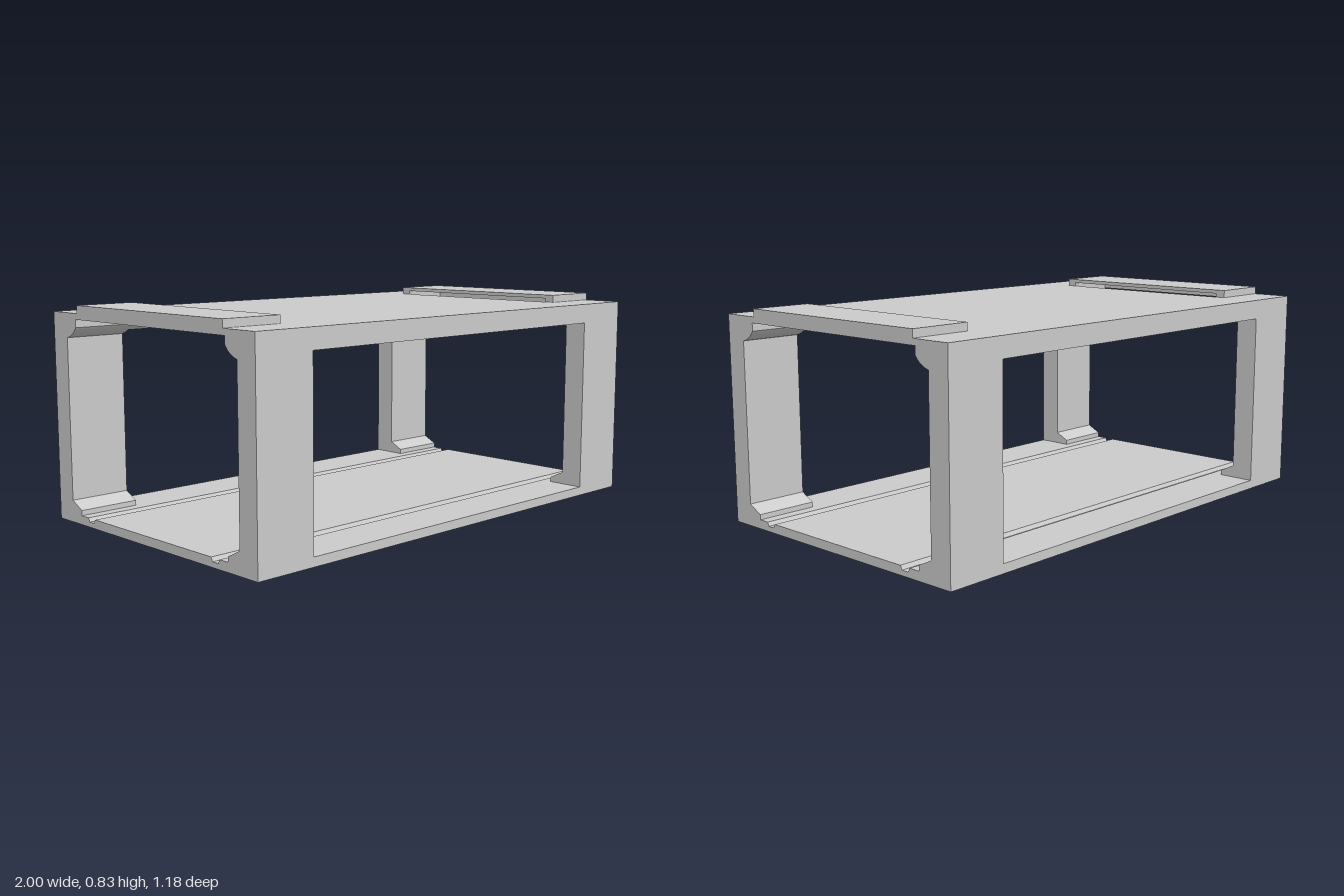
import * as THREE from 'three';
import { toCreasedNormals } from 'three/addons/utils/BufferGeometryUtils.js';

const mat = new THREE.MeshStandardMaterial({ color: 0xcccccc });
const W = 0.59, IN = 0.5, LIP = 0.44, FLOOR = 0.035, CEIL = 0.777, ROOF = 0.8;
const WIN = 0.757, WIN_TOP = 0.723;
const PAD_Z = 0.43, PAD_Y = 0.83, REC_Z = 0.39, REC_Y = 0.815, REC_X = 0.975;

// Mirrors a half profile (z >= 0) into a full list running from +z to -z.
const mirror = half => [...half, ...half.map(([z, y]) => [-z, y]).reverse()];

// Floor section with two lengthwise grooves, from the edge towards the middle.
const floorHalf = [[LIP, FLOOR], [0.395, FLOOR], [0.387, 0.02], [0.358, 0.02], [0.35, FLOOR]];

// Convex rounded corner under the roof, from its outer end up to the ceiling.
function cornerArc(lowest) {
  const cz = 0.52, cy = 0.8, r = 0.096, n = 12;
  const a0 = Math.asin((cy - lowest) / r), a1 = Math.acos((cz - LIP) / r);
  const pts = [];
  for (let i = 0; i <= n; i++) {
    const a = a0 + (a1 - a0) * i / n;
    pts.push([cz - r * Math.cos(a), cy - r * Math.sin(a)]);
  }
  return [...pts, [LIP, CEIL]];
}

// Looking along -x, the section's horizontal axis is -z.
const toPoints = pts => pts.map(([z, y]) => new THREE.Vector2(-z, y)).reverse();

// Extrudes a z/y section along x from x0 to x1.
function section(name, outer, hole, x0, x1) {
  const shape = new THREE.Shape(toPoints(outer));
  if (hole) shape.holes.push(new THREE.Path(toPoints(hole)));
  const geo = new THREE.ExtrudeGeometry(shape, { depth: x1 - x0, bevelEnabled: false });
  geo.rotateY(Math.PI / 2).translate(x0, 0, 0);
  const mesh = new THREE.Mesh(toCreasedNormals(geo, 0.3), mat);
  mesh.name = name;
  return mesh;
}

// Closed end frame: pillars, roof pad, wedge feet and rounded upper corners.
function endFrame(name, x0, x1, recessed) {
  const outer = mirror([[W, 0], [W, ROOF], [PAD_Z, ROOF], [PAD_Z, PAD_Y]]);
  const recess = recessed ? [[REC_Z, CEIL], [REC_Z, REC_Y]] : [];
  const top = mirror([[IN, 0.706], ...cornerArc(0.7065), ...recess]);
  const bottom = mirror([[IN, 0.085], [LIP, 0.055], ...floorHalf]).reverse();
  return section(name, outer, [...top, ...bottom], x0, x1);
}

export function createModel() {
  const model = new THREE.Group();
  model.name = 'openBoxFrame';

  // Floor and roof between the pillars
  model.add(section('floor', mirror([[W, 0], [W, FLOOR], ...floorHalf]), null, -WIN, WIN));
  const under = mirror([[W, WIN_TOP], ...cornerArc(WIN_TOP)]);
  model.add(section('roof', [[W, ROOF], ...under, [-W, ROOF]], null, -WIN, WIN));

  // Frames at both ends, hollow beneath the pad and closed by a thin lip
  for (const [side, s] of [['left', 1], ['right', -1]]) {
    const span = (a, b) => s > 0 ? [a, b] : [-b, -a];
    model.add(endFrame(side + 'EndFrame', ...span(WIN, REC_X), true));
    model.add(endFrame(side + 'EndLip', ...span(REC_X, 1), false));
  }
  return model;
}
